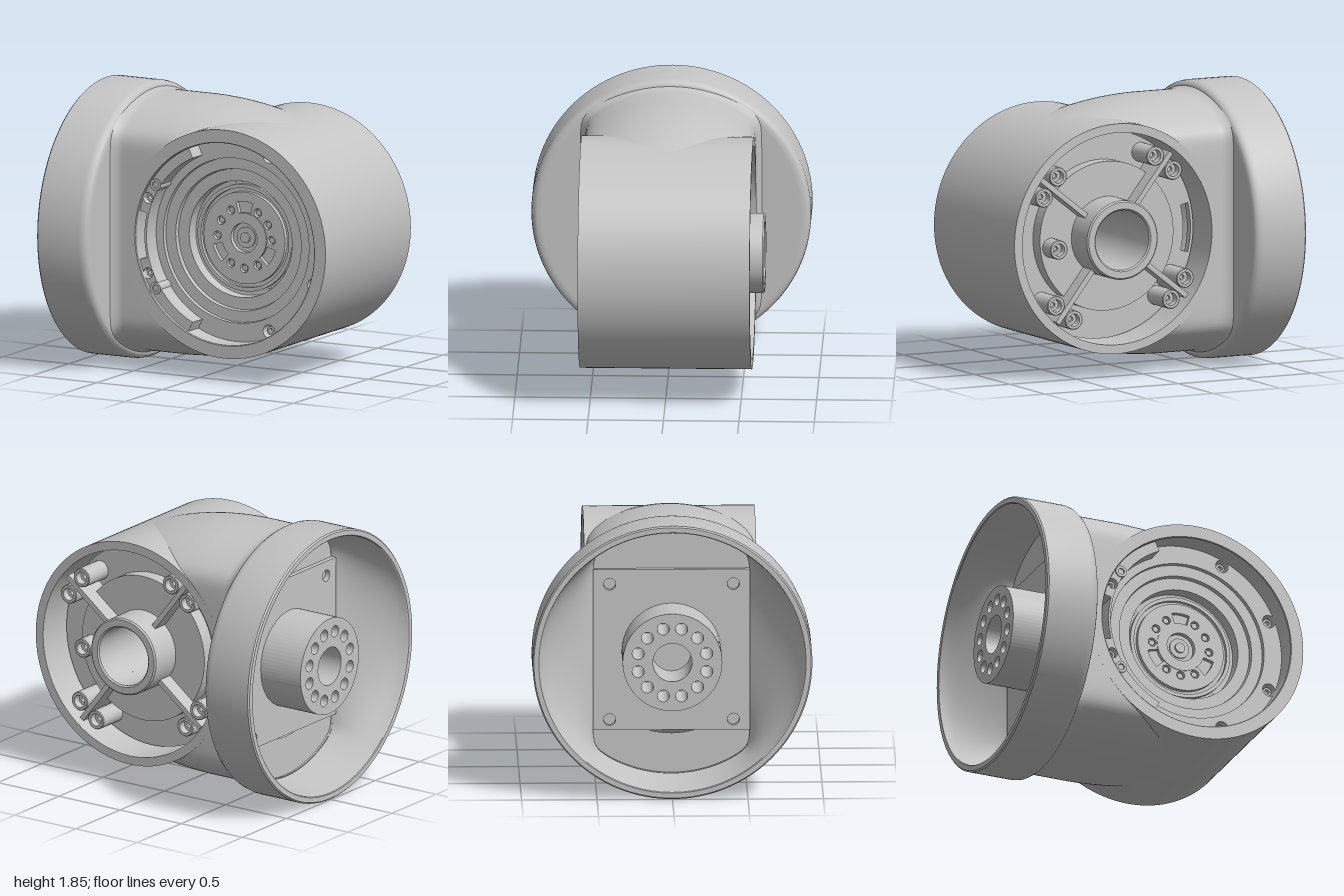
import * as THREE from 'three';
import { toCreasedNormals } from 'three/addons/utils/BufferGeometryUtils.js';

const CX = 0.23, CY = 0.93, R = 0.77, HALF = 0.57;
const rad = THREE.MathUtils.degToRad;
const lerp = THREE.MathUtils.lerp;

const circle = (x, y, r) => {
  const p = new THREE.Path();
  p.absarc(x, y, r, 0, Math.PI * 2, true);
  return p;
};
const polar = (r, deg) => [r * Math.cos(rad(deg)), r * Math.sin(rad(deg))];
const sector = (r0, r1, a0, a1, p = new THREE.Path()) => {
  p.absarc(0, 0, r1, rad(a0), rad(a1), false);
  p.absarc(0, 0, r0, rad(a1), rad(a0), true);
  p.closePath();
  return p;
};
function extrude(s, z0, z1) {
  const g = new THREE.ExtrudeGeometry(s, { depth: z1 - z0, bevelEnabled: false, curveSegments: 40 });
  return g.translate(0, 0, z0);
}
// Disc with holes, lying between z0 and z1
function plate(r, holes, z0, z1) {
  const s = new THREE.Shape();
  s.absarc(0, 0, r, 0, Math.PI * 2, false);
  s.holes.push(...holes);
  return extrude(s, z0, z1);
}
const lathe = (pts, seg) => new THREE.LatheGeometry(pts.map(p => new THREE.Vector2(...p)), seg);
// Profile [radius, height] turned about z
const latheZ = (pts, seg = 96) => toCreasedNormals(lathe(pts, seg).rotateX(Math.PI / 2), 0.5);

// Skin over rows of points running along x, one row for each angle
function loft(nu, nv, rowAt) {
  const pos = [], idx = [];
  for (let j = 0; j <= nv; j++) {
    const point = rowAt((j / nv) * Math.PI * 2);
    for (let i = 0; i <= nu; i++) pos.push(...point(i / nu));
  }
  for (let j = 0; j < nv; j++) for (let i = 0; i < nu; i++) {
    const a = j * (nu + 1) + i, b = a + nu + 1;
    idx.push(a, a + 1, b, a + 1, b + 1, b);
  }
  const g = new THREE.BufferGeometry();
  g.setAttribute('position', new THREE.Float32BufferAttribute(pos, 3));
  g.setIndex(idx);
  return toCreasedNormals(g, 0.6);
}
// Softly flatten a width at a limit
const flatten = (z, limit, p) => z * (1 + Math.abs(z / limit) ** p) ** (-1 / p);

// Neck skin: a flattened circle swept along x, ending on the joint housing's wall
function neckGeometry(radius, half, x0, flareSize) {
  const knee = -0.55;
  const section = (x, t) => {
    const flare = flareSize * Math.max(0, (knee - x) / 0.09) ** 2;
    const taper = 1 - 0.275 * Math.max(0, x + 0.3) ** 2;
    const z = flatten(radius * Math.cos(t), half, 16);
    return [x, radius * Math.sin(t) * taper * (1 + 0.3 * flare), z * (1 + flare)];
  };
  return loft(40, 160, t => {
    let end = x0;
    while (end < 0.46) {
      const p = section(end, t);
      if (Math.hypot(p[0] - CX, p[1]) < R - 0.002) break;
      end += 0.002;
    }
    return u => section(u < 0.2 ? lerp(x0, knee, u / 0.2) : lerp(knee, end, (u - 0.2) / 0.8), t);
  });
}

// Cavity: round at the flange mouth, straight-sided where it enters the neck
const cavityGeometry = () => loft(12, 128, t => u => {
  const r = lerp(0.88, 0.83, u), z = r * Math.cos(t);
  return [lerp(-0.995, -0.64, u), r * Math.sin(t), lerp(z, flatten(z, 0.52, 16), u ** 1.5)];
});

export function createModel() {
  const grey = new THREE.MeshStandardMaterial({ color: 0xc4c4c4, side: THREE.DoubleSide });
  grey.name = 'metal grey';
  const root = new THREE.Group();
  root.name = 'elbowJointHousing';
  const add = (parent, name, g) => {
    const m = new THREE.Mesh(g, grey);
    m.name = name;
    parent.add(m);
    return m;
  };
  const group = (parent, name, x, y, z) => {
    const g = new THREE.Group();
    g.name = name;
    g.position.set(x, y, z);
    parent.add(g);
    return g;
  };

  add(root, 'neck', neckGeometry(0.87, HALF, -0.64, 0.08)).position.y = CY;
  add(root, 'neckLining', neckGeometry(0.83, 0.52, -0.64, 0)).position.y = CY;

  // Open flange, turned about x
  const flange = group(root, 'flange', 0, 0.927, 0);
  const outer = lathe([
    [0.88, -0.995], [0.885, -1], [0.918, -1], [0.927, -0.99], [0.927, -0.68],
    [0.922, -0.655], [0.91, -0.635], [0.89, -0.625], [0.86, -0.625], [0.56, -0.625],
  ], 128);
  add(flange, 'flangeWall', toCreasedNormals(outer.rotateZ(-Math.PI / 2), 0.6));
  add(flange, 'flangeCavity', cavityGeometry());

  // Rectangular mounting plate inside the flange, with a hole in each corner
  const mount = new THREE.Shape();
  mount.moveTo(-0.52, -0.53).lineTo(0.52, -0.53).lineTo(0.52, 0.56).lineTo(-0.52, 0.56).closePath();
  for (const sx of [-1, 1]) for (const sy of [-1, 1]) mount.holes.push(circle(sx * 0.41, sy * 0.46, 0.04));
  add(flange, 'mountingPlate', extrude(mount, 0.63, 0.665).rotateY(-Math.PI / 2));

  // Drive tube with a ring of bolt holes
  const tubeHoles = [circle(0, 0, 0.13)];
  for (let i = 0; i < 12; i++) tubeHoles.push(circle(...polar(0.235, i * 30 + 15), 0.04));
  add(flange, 'driveTube', plate(0.33, tubeHoles, 0.66, 0.99).rotateY(-Math.PI / 2));

  // Joint housing, turned about z
  const joint = group(root, 'joint', CX, CY, 0);
  add(joint, 'jointShell', latheZ([
    [0.71, -HALF], [R, -HALF], [R, HALF], [0.685, HALF],
    [0.68, 0.565], [0.68, -0.2], [0.71, -0.25], [0.71, -HALF],
  ], 128));

  // Deep front floor, with a raised ledge and a through slot on the neck side
  const slot = () => sector(0.625, 0.681, 166, 194);
  const floorScrews = [23, 67, -67, -23], ledgeScrews = [157, 203];
  add(joint, 'frontFloor', plate(0.69, [
    circle(0, 0, 0.555), slot(), ...floorScrews.map(d => circle(...polar(0.64, d), 0.045)),
  ], 0.335, 0.415));
  add(joint, 'frontBacking', plate(0.69, [circle(0, 0, 0.5), slot()], 0.3, 0.335));
  const ledge = sector(0.61, 0.69, 115, 245, new THREE.Shape());
  ledge.holes.push(slot(), ...ledgeScrews.map(d => circle(...polar(0.648, d), 0.036)));
  add(joint, 'frontLedge', extrude(ledge, 0.4, 0.545));
  const screw = (d, r, z) => {
    const g = latheZ([[0.03, 0], [0.03, 0.05], [0.016, 0.05], [0.014, 0.025], [0, 0.025]], 20);
    add(joint, 'frontScrew', g).position.set(...polar(r, d), z);
  };
  floorScrews.forEach(d => screw(d, 0.64, 0.335));
  ledgeScrews.forEach(d => screw(d, 0.648, 0.46));
  for (const d of [147, 213]) {
    const g = latheZ([[0.04, -0.13], [0.04, 0.015], [0.022, 0.015], [0.02, 0], [0, 0]], 20);
    add(joint, 'ledgeBoss', g).position.set(...polar(0.64, d), 0.54);
  }

  // Stepped bowl around the front hub
  add(joint, 'frontBowl', latheZ([
    [0.557, 0.415], [0.553, 0.385], [0.478, 0.385], [0.473, 0.355], [0.392, 0.355], [0.39, 0.27], [0.33, 0.265],
  ]));

  // Output hub with twelve positions: nine screws, three pockets
  const hub = group(joint, 'outputHub', 0, 0, -0.085);
  const hubHoles = [circle(0, 0, 0.1)], screws = [];
  for (let i = 0; i < 12; i++) {
    const d = i * 30;
    if (d % 120 === 90) hubHoles.push(sector(0.165, 0.245, d - 15, d + 15));
    else {
      hubHoles.push(circle(...polar(0.205, d), 0.029));
      screws.push(d);
    }
  }
  add(hub, 'hubFace', plate(0.31, hubHoles, 0.33, 0.39));
  add(hub, 'hubBase', plate(0.375, [], 0.3, 0.36));
  add(hub, 'hubRim', latheZ([[0.36, 0.35], [0.36, 0.385], [0.335, 0.385], [0.335, 0.35]]));
  add(hub, 'hubCollar', latheZ([[0.17, 0.385], [0.17, 0.395], [0.1, 0.395], [0.1, 0.35]], 48));
  add(hub, 'centrePin', latheZ([[0.07, 0.35], [0.07, 0.37], [0.035, 0.37], [0.035, 0.385], [0, 0.385]], 32));
  for (const d of screws) {
    const g = latheZ([[0.02, 0], [0.02, 0.02], [0, 0.02]], 16);
    add(hub, 'hubScrew', g).position.set(...polar(0.205, d), 0.36);
  }

  // Back floor, ribs and screw bosses
  add(joint, 'backFloor', plate(0.7, [slot(), circle(0, 0, 0.2)], -0.32, -0.27));
  add(joint, 'backStep', plate(0.5, [circle(0, 0, 0.2)], -0.42, -0.3));
  const boss = (r, d) => {
    const m = add(joint, 'backBoss', latheZ([
      [0.065, 0], [0.065, 0.215], [0.06, 0.22], [0.042, 0.22], [0.04, 0.17], [0.018, 0.17], [0.016, 0.15], [0, 0.15],
    ], 24));
    m.position.set(...polar(r, d), -0.315);
    m.rotation.x = Math.PI;
  };
  boss(0.42, -7);
  for (let k = 0; k < 4; k++) {
    const mid = 38 + 90 * k;
    const rib = add(joint, 'backRib', new THREE.BoxGeometry(0.44, 0.035, 0.22));
    rib.position.set(...polar(0.47, mid), -0.42);
    rib.rotation.z = rad(mid);
    for (const s of [-8, 8]) boss(0.61, mid + s);
  }

  // Hollow bearing collar on the back
  add(joint, 'bearingCollar', latheZ([
    [0.2, -0.64], [0.21, -0.65], [0.255, -0.65], [0.265, -0.64], [0.265, -0.4], [0.2, -0.38], [0.2, -0.64],
  ]));
  add(joint, 'bearingBore', latheZ([[0.2, 0.23], [0.2, -0.41]]));
  return root;
}
